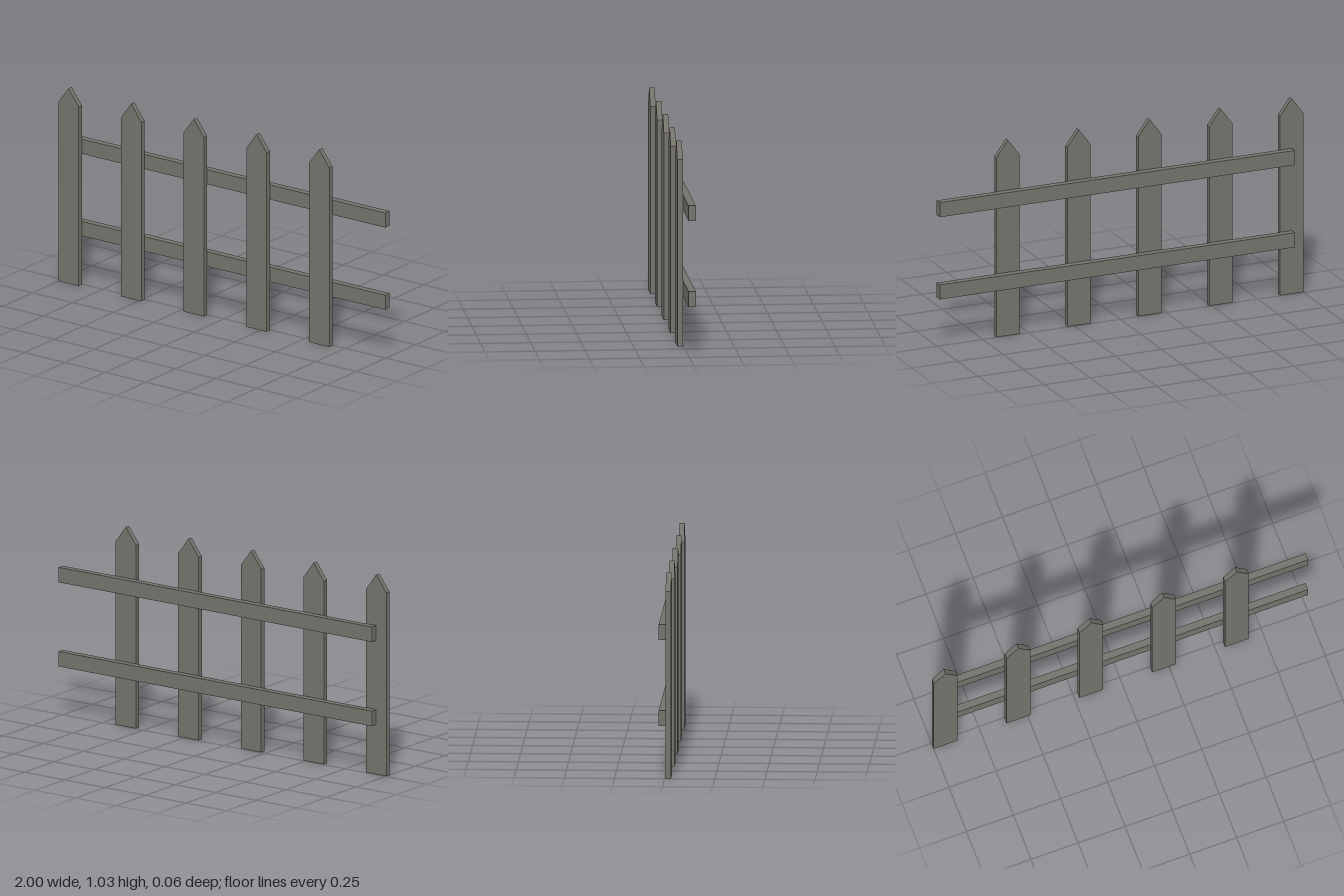
import * as THREE from 'three';

export function createModel() {
  const fence = new THREE.Group();
  fence.name = 'picketFence';
  const wood = new THREE.MeshStandardMaterial({ color: 0x75736c });
  wood.name = 'weatheredWood';

  const halfDepth = 0.032, joint = 0.005; // plane where pickets meet rails

  // Pointed pickets along the front
  const w = 0.063, shoulder = 0.945, tip = 1.03;
  const outline = new THREE.Shape([
    new THREE.Vector2(-w, 0),
    new THREE.Vector2(w, 0),
    new THREE.Vector2(w, shoulder),
    new THREE.Vector2(0, tip),
    new THREE.Vector2(-w, shoulder),
  ]);
  const picketGeometry = new THREE.ExtrudeGeometry(outline, {
    depth: halfDepth - joint,
    bevelEnabled: false,
  });
  for (let i = 0; i < 5; i++) {
    const picket = new THREE.Mesh(picketGeometry, wood);
    picket.name = `picket${i + 1}`;
    picket.position.set(-0.937 + i * 0.387, 0, joint);
    fence.add(picket);
  }

  // Two rails behind, from the first picket's middle to the open end
  const railStart = -0.937, railEnd = 1;
  const railGeometry = new THREE.BoxGeometry(railEnd - railStart, 0.077, halfDepth + joint);
  for (const [name, y] of [['lowerRail', 0.295], ['upperRail', 0.729]]) {
    const rail = new THREE.Mesh(railGeometry, wood);
    rail.name = name;
    rail.position.set((railStart + railEnd) / 2, y, (joint - halfDepth) / 2);
    fence.add(rail);
  }
  return fence;
}
